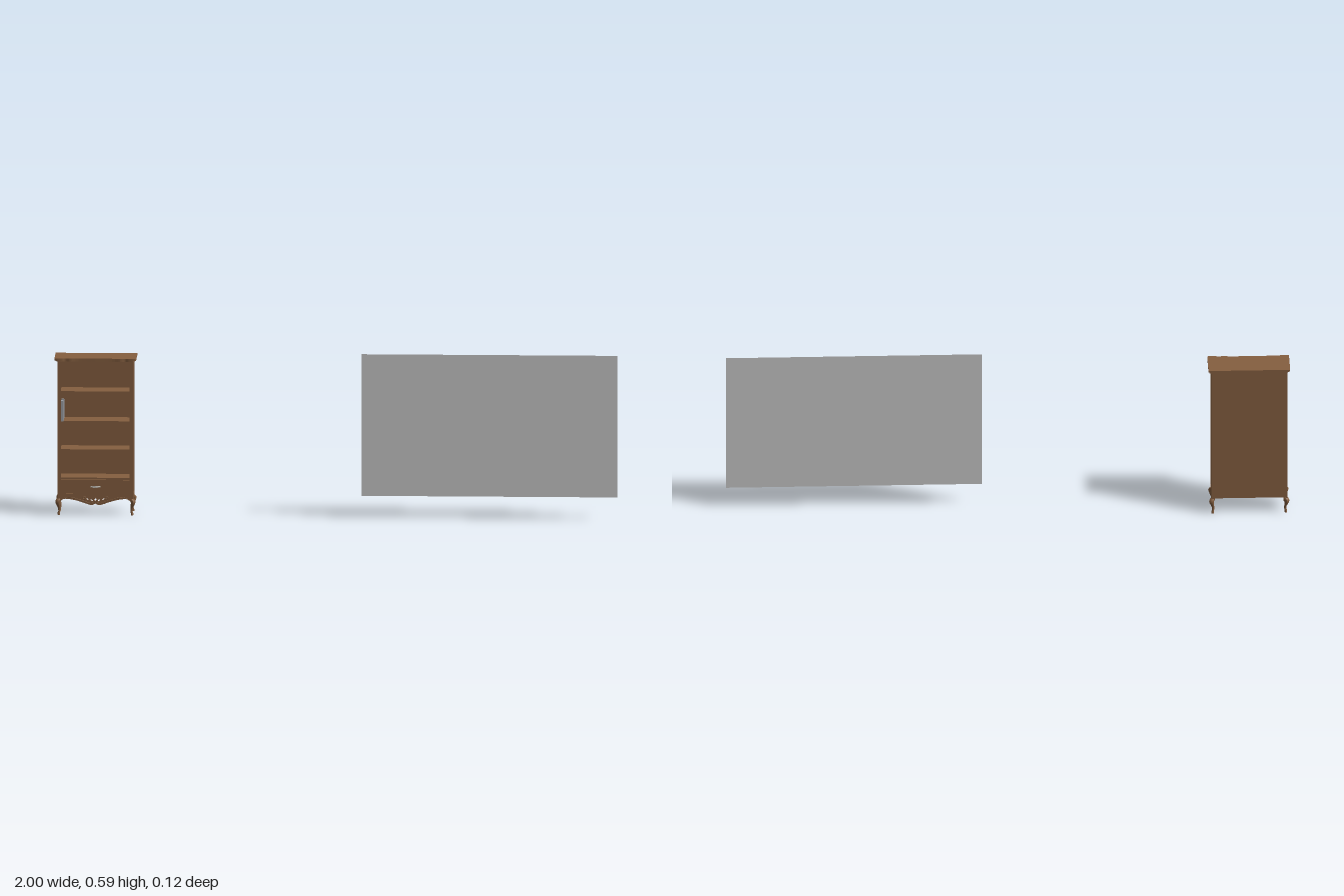
import * as THREE from 'three';

const CX = -0.855; // centre line of the bookcase

export function createModel() {
  const model = new THREE.Group();
  const wood = new THREE.MeshStandardMaterial({ color: 0x855f40 });
  wood.name = 'brown wood';
  const metal = new THREE.MeshStandardMaterial({ color: 0xbdb8b0 });
  metal.name = 'pale metal';
  const grey = new THREE.MeshStandardMaterial({ color: 0x9a9ea4 });
  grey.name = 'book grey';
  const board = new THREE.MeshStandardMaterial({ color: 0xcacaca, side: THREE.DoubleSide });
  board.name = 'light grey';

  const cabinet = new THREE.Group();
  cabinet.name = 'bookcase';
  cabinet.position.x = CX;
  model.add(cabinet);

  function add(name, geometry, material = wood, parent = cabinet) {
    const mesh = new THREE.Mesh(geometry, material);
    mesh.name = name;
    parent.add(mesh);
    return mesh;
  }
  // Box given by its limits on each axis
  function box(name, x0, x1, y0, y1, z0, z1, material = wood) {
    const mesh = add(name, new THREE.BoxGeometry(x1 - x0, y1 - y0, z1 - z0), material);
    mesh.position.set((x0 + x1) / 2, (y0 + y1) / 2, (z0 + z1) / 2);
    return mesh;
  }
  // Rail with a straight top edge and a symmetrical wavy bottom edge
  function wavyRail(half, top, points, depth, holes = []) {
    const right = points.map(([x, y]) => new THREE.Vector2(x, y));
    const left = points.slice(1).reverse().map(([x, y]) => new THREE.Vector2(-x, y));
    const curve = new THREE.SplineCurve([...left, ...right]).getPoints(48);
    const shape = new THREE.Shape([new THREE.Vector2(half, top), new THREE.Vector2(-half, top), ...curve]);
    for (const [x, y, rx, ry, tilt] of holes) {
      const hole = new THREE.Path();
      hole.absellipse(x, y, rx, ry, 0, Math.PI * 2, true, tilt);
      shape.holes.push(hole);
    }
    return new THREE.ExtrudeGeometry(shape, { depth, bevelEnabled: false, curveSegments: 8 });
  }

  // Carcass: corner posts, recessed sides, back and floor
  for (const s of [-1, 1]) {
    const side = (name, a, b, ...rest) => box(name, Math.min(s * a, s * b), Math.max(s * a, s * b), ...rest);
    side('frontPost', 0.122, 0.135, 0.053, 0.555, 0.034, 0.046);
    side('backPost', 0.122, 0.135, 0.053, 0.555, -0.055, -0.043);
    side('sidePanel', 0.125, 0.1335, 0.07, 0.555, -0.043, 0.034);
    // Scalloped rail under each side
    const rail = add('sideApron', wavyRail(0.04, 0.075,
      [[0, 0.046], [0.012, 0.048], [0.022, 0.051], [0.032, 0.05], [0.04, 0.047]], 0.01));
    rail.rotation.y = Math.PI / 2;
    rail.position.set(s > 0 ? 0.125 : -0.135, 0, -0.0045);
  }
  box('backPanel', -0.124, 0.124, 0.06, 0.555, -0.053, -0.048);
  box('cabinetFloor', -0.125, 0.125, 0.072, 0.077, -0.05, 0.04);

  // Shelves and the drawer below them
  for (const y of [0.133, 0.235, 0.337, 0.444]) {
    box('shelf', -0.126, 0.126, y - 0.006, y, -0.049, 0.036);
  }
  box('drawerFront', -0.122, 0.122, 0.078, 0.126, 0.036, 0.044);

  // Drawer handle: back plate, two stems and a bow
  box('handlePlate', -0.018, 0.018, 0.1, 0.104, 0.044, 0.0455, metal);
  for (const s of [-1, 1]) box('handleStem', s * 0.013 - 0.0012, s * 0.013 + 0.0012, 0.1, 0.103, 0.045, 0.051, metal);
  const bow = new THREE.QuadraticBezierCurve3(
    new THREE.Vector3(-0.016, 0.103, 0.05), new THREE.Vector3(0, 0.097, 0.053), new THREE.Vector3(0.016, 0.103, 0.05));
  add('handleBow', new THREE.TubeGeometry(bow, 12, 0.0013, 6), metal);

  // Curved rail above the opening
  const topRail = add('topRail', wavyRail(0.124, 0.555,
    [[0, 0.527], [0.03, 0.529], [0.06, 0.537], [0.085, 0.541], [0.105, 0.538], [0.124, 0.54]], 0.009));
  topRail.position.z = 0.036;

  // Pierced front apron
  const holes = [[0, 0.0555, 0.004, 0.004, 0]];
  for (const s of [-1, 1]) {
    holes.push([s * 0.013, 0.053, 0.005, 0.0028, s * 0.4], [s * 0.028, 0.057, 0.005, 0.0022, s * 0.3]);
  }
  const apron = add('frontApron', wavyRail(0.124, 0.078,
    [[0, 0.041], [0.012, 0.036], [0.03, 0.04], [0.05, 0.047], [0.075, 0.054], [0.1, 0.058], [0.113, 0.057], [0.124, 0.05]],
    0.009, holes));
  apron.position.z = 0.036;

  // Carved scrolls on the apron
  for (const s of [-1, 1]) {
    const path = [[0.006, 0.044], [0.018, 0.042], [0.035, 0.048], [0.06, 0.056], [0.085, 0.063], [0.1, 0.063], [0.114, 0.059]];
    const curve = new THREE.CatmullRomCurve3(path.map(([x, y]) => new THREE.Vector3(s * x, y, 0.045)));
    add('carvedScroll', new THREE.TubeGeometry(curve, 28, 0.0018, 6));
    const curl = add('carvedCurl', new THREE.TorusGeometry(0.0045, 0.0015, 6, 14));
    curl.position.set(s * 0.04, 0.062, 0.045);
  }
  const rosette = add('carvedRosette', new THREE.TorusGeometry(0.0055, 0.0016, 6, 16));
  rosette.position.set(0, 0.0555, 0.045);

  // Cabriole legs: [height, outward shift, radius]
  const legProfile = [
    [0, 0.001, 0.0045], [0.007, 0.001, 0.0045], [0.014, -0.001, 0.0038], [0.024, -0.0005, 0.0045],
    [0.033, 0.002, 0.006], [0.042, 0.0045, 0.0078], [0.05, 0.005, 0.0085], [0.056, 0.002, 0.0085], [0.061, -0.001, 0.006],
  ];
  function legGeometry() {
    const rows = legProfile.length - 1;
    const geometry = new THREE.CylinderGeometry(1, 1, 1, 12, rows);
    const p = geometry.attributes.position;
    for (let i = 0; i < p.count; i++) {
      const [y, shift, r] = legProfile[Math.round((p.getY(i) + 0.5) * rows)];
      p.setXYZ(i, p.getX(i) * r + shift, y, p.getZ(i) * r + shift);
    }
    geometry.computeVertexNormals();
    return geometry;
  }
  const leg = legGeometry();
  [[1, 1], [1, -1], [-1, -1], [-1, 1]].forEach(([sx, sz], i) => {
    const mesh = add(sz > 0 ? 'frontLeg' : 'backLeg', leg);
    mesh.position.set(sx * 0.129, 0, sz > 0 ? 0.039 : -0.048);
    mesh.rotation.y = i * Math.PI / 2;
  });

  // Crown: stacked layers sharing one plan with a serpentine front
  function crownLayer(y, height, inset) {
    const w = 0.145 - inset, back = -0.0615 + inset * 0.4, f = 0.0615 - inset;
    const half = [[0, f - 0.005], [0.06, f - 0.005], [0.088, f - 0.002], [0.105, f - 0.004], [0.118, f - 0.001], [0.132, f], [w - 0.003, f - 0.001]];
    const pts = [...half.slice(1).reverse().map(([x, z]) => [-x, z]), ...half].map(([x, z]) => new THREE.Vector2(x, -z));
    const shape = new THREE.Shape([
      new THREE.Vector2(w, -f + 0.004), new THREE.Vector2(w, -back),
      new THREE.Vector2(-w, -back), new THREE.Vector2(-w, -f + 0.004),
      ...new THREE.SplineCurve(pts).getPoints(48),
    ]);
    const mesh = add('crown', new THREE.ExtrudeGeometry(shape, { depth: height, bevelEnabled: false }));
    mesh.rotation.x = -Math.PI / 2;
    mesh.position.y = y;
  }
  crownLayer(0.553, 0.003, 0.007);
  crownLayer(0.556, 0.003, 0.0035);
  crownLayer(0.559, 0.0065, 0);

  // Thin books standing against the side of the second shelf
  for (let i = 0; i < 4; i++) {
    const z = -0.024 + i * 0.018;
    box('book', -0.122, -0.113, 0.337, 0.405 + (i % 2) * 0.006, z, z + 0.016, grey);
  }

  // Separate flat upright panel
  const panel = add('flatPanel', new THREE.PlaneGeometry(0.91, 0.51), board, model);
  panel.position.set(0.545, 0.333, 0.058);

  return model;
}
